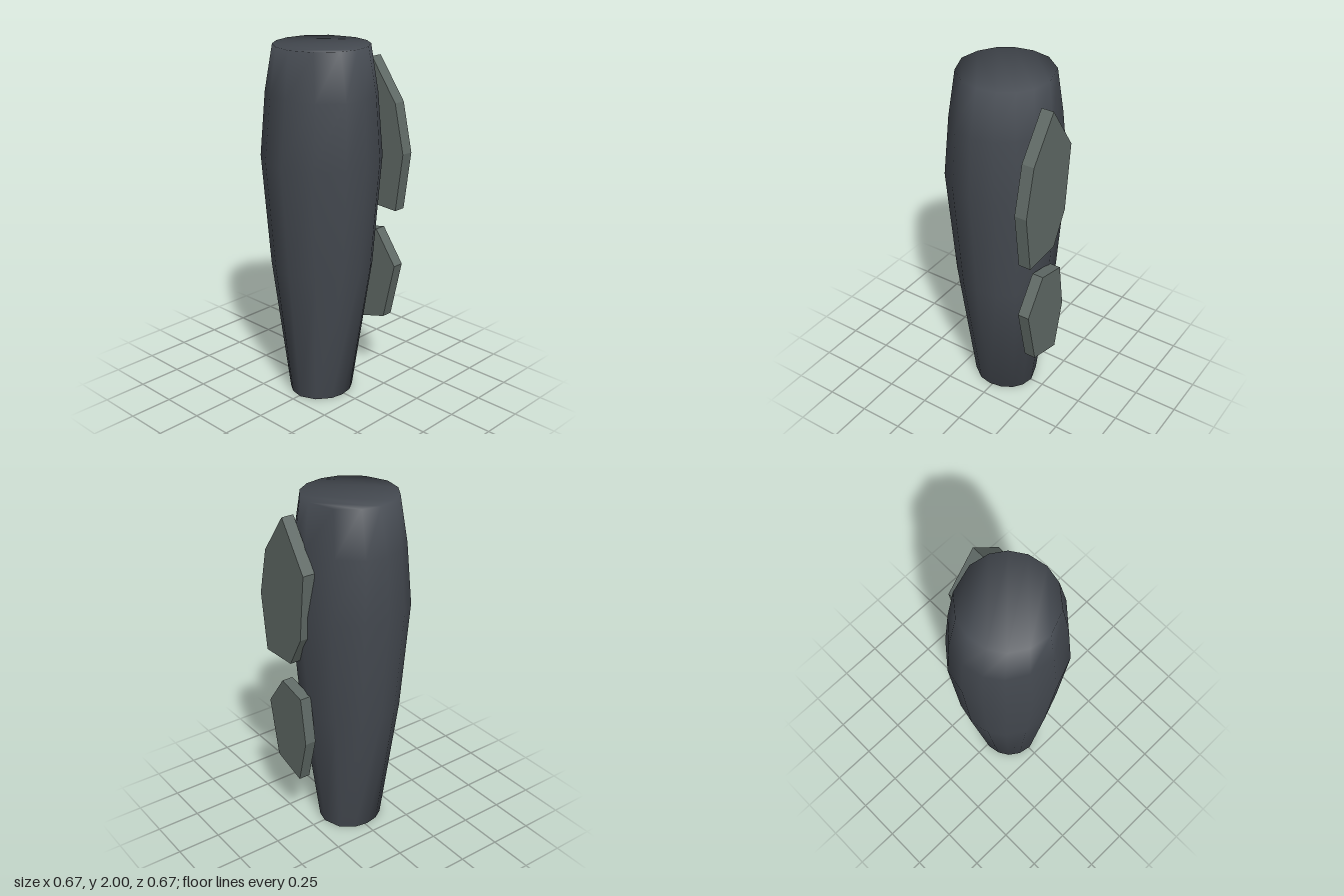
import * as THREE from 'three';

const bodyMat = new THREE.MeshStandardMaterial({ color: 0x444950 });
bodyMat.name = 'dark slate';
const plateMat = new THREE.MeshStandardMaterial({ color: 0x606a66 });
plateMat.name = 'grey green';

// Unit cross-section of the body, counter-clockwise from above (x, z)
const SECTION = [
  [-1, 0], [-0.92, 0.39], [-0.71, 0.7], [-0.36, 0.92], [0.08, 1], [0.59, 0.8], [0.92, 0.39],
  [1, 0], [0.92, -0.41], [0.71, -0.72], [0.41, -0.92], [0, -1], [-0.59, -0.82], [-0.92, -0.41],
];

// Body rings: height, half width, half depth, z centre
const RINGS = [
  [0, 0.17, 0.185, 0.015],
  [0.78, 0.287, 0.275, 0.012],
  [1.4, 0.33, 0.324, 0.014],
  [1.75, 0.31, 0.285, 0.015],
  [2, 0.255, 0.257, 0.013],
];

function createBody() {
  const n = SECTION.length;
  const positions = [];
  const index = [];
  for (const [y, hx, hz, cz] of RINGS) {
    for (const [x, z] of SECTION) positions.push(x * hx - 0.005, y, z * hz + cz);
  }
  // Side walls
  for (let r = 0; r < RINGS.length - 1; r++) {
    for (let i = 0; i < n; i++) {
      const a = r * n + i;
      const b = r * n + (i + 1) % n;
      index.push(a, b, b + n, a, b + n, a + n);
    }
  }
  // Flat ends, filled in strips and sharing the rim vertices for soft shading
  const start = 5;
  const addCap = (base, flip) => {
    const at = (k) => base + (start + k + n) % n;
    const tri = (a, b, c) => {
      if (a === b || b === c || a === c) return;
      index.push(a, flip ? c : b, flip ? b : c);
    };
    for (let i = 0; i < n / 2; i++) {
      tri(at(-i), at(i), at(i + 1));
      tri(at(-i), at(i + 1), at(-i - 1));
    }
  };
  addCap(0, true);
  addCap((RINGS.length - 1) * n, false);

  const geometry = new THREE.BufferGeometry();
  geometry.setAttribute('position', new THREE.Float32BufferAttribute(positions, 3));
  geometry.setIndex(index);
  geometry.computeVertexNormals();
  const mesh = new THREE.Mesh(geometry, bodyMat);
  mesh.name = 'body';
  return mesh;
}

// Flat angular plate on the back, outlined in x and y
function createPlate(name, outline, back) {
  const front = -0.265;
  const shape = new THREE.Shape(outline.map(([x, y]) => new THREE.Vector2(x, y)));
  const geometry = new THREE.ExtrudeGeometry(shape, { depth: front - back, bevelEnabled: false });
  geometry.translate(0, 0, back);
  const mesh = new THREE.Mesh(geometry, plateMat);
  mesh.name = name;
  return mesh;
}

export function createModel() {
  const model = new THREE.Group();
  model.name = 'platedLimb';
  model.add(
    createBody(),
    createPlate('upperPlate', [
      [0.1, 1.91], [-0.08, 1.65], [-0.04, 1.27], [0.06, 1.09], [0.29, 1.08], [0.333, 1.41], [0.27, 1.68],
    ], -0.335),
    createPlate('lowerPlate', [
      [0.155, 0.94], [-0.02, 0.9], [-0.06, 0.63], [0.01, 0.36], [0.22, 0.42], [0.293, 0.75],
    ], -0.33),
  );
  return model;
}
